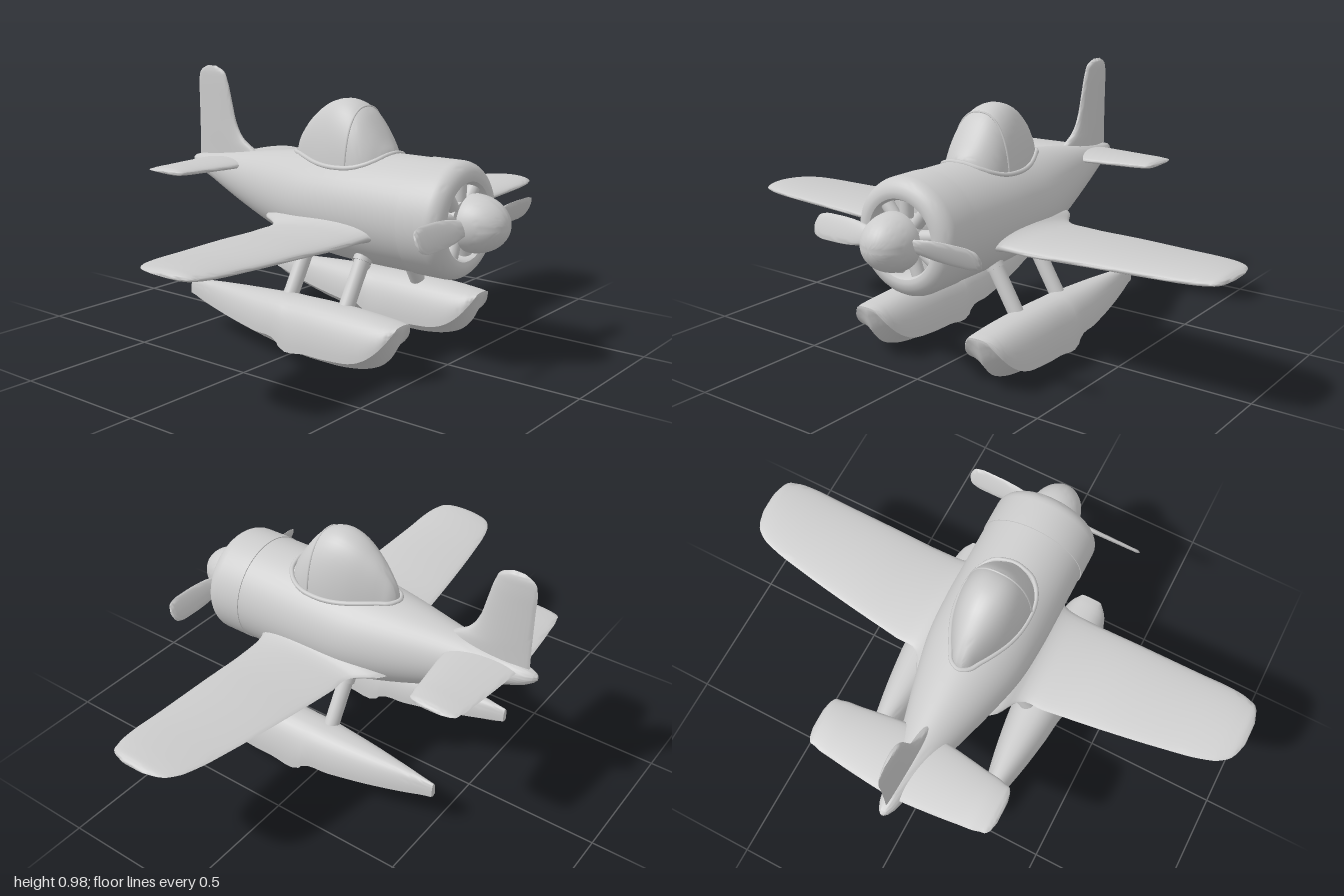
import * as THREE from 'three';
import { toCreasedNormals } from 'three/addons/utils/BufferGeometryUtils.js';

const V = (x, y, z) => new THREE.Vector3(x, y, z);
const material = new THREE.MeshStandardMaterial({ color: 0xcccccc });

function add(parent, name, geometry) {
  const mesh = new THREE.Mesh(geometry, material);
  mesh.name = name;
  parent.add(mesh);
  return mesh;
}

// Smooth function through station rows [position, a, b, ...]
function spline(rows) {
  const f = new THREE.CubicInterpolant(rows.map(r => r[0]), rows.flatMap(r => r.slice(1)), rows[0].length - 1);
  return t => Array.from(f.evaluate(t));
}

// Finer rows, k per interval
function refine(rows, k) {
  const f = spline(rows), out = [];
  for (let i = 0; i < rows.length - 1; i++)
    for (let j = 0; j < k; j++) {
      const t = THREE.MathUtils.lerp(rows[i][0], rows[i + 1][0], j / k);
      out.push([t, ...f(t)]);
    }
  out.push(rows[rows.length - 1]);
  return out;
}

// Closed skin over rings of equal length, capped and turned outward
function loft(rings, crease = 0.7) {
  const n = rings[0].length, pts = rings.flat(), index = [];
  for (let i = 0; i < rings.length - 1; i++)
    for (let j = 0; j < n; j++) {
      const a = i * n + j, b = i * n + (j + 1) % n;
      index.push(a, b, b + n, a, b + n, a + n);
    }
  [0, rings.length - 1].forEach(i => {
    const c = pts.length;
    pts.push(rings[i].reduce((s, p) => s.add(p), V(0, 0, 0)).divideScalar(n));
    for (let j = 0; j < n; j++) {
      const a = i * n + j, b = i * n + (j + 1) % n;
      index.push(...(i ? [a, b, c] : [b, a, c]));
    }
  });
  let volume = 0;
  for (let i = 0; i < index.length; i += 3)
    volume += pts[index[i]].dot(V(0, 0, 0).crossVectors(pts[index[i + 1]], pts[index[i + 2]]));
  if (volume < 0) index.reverse();
  const g = new THREE.BufferGeometry().setFromPoints(pts);
  g.setIndex(index);
  return toCreasedNormals(g, crease);
}

const circle = (n, f) => Array.from({ length: n }, (_, i) => f(Math.cos(i / n * 2 * Math.PI), Math.sin(i / n * 2 * Math.PI)));

// Airfoil surface; rows are [span, leading z, trailing z, centre, thickness]
function foil(rows, place, k = 4) {
  return loft(refine(rows, k).map(([s, le, te, c, t]) => circle(32, (co, si) =>
    place(s, (le + te) / 2 + (le - te) / 2 * co, c + t / 2 * si * (0.82 + 0.36 * co) + t * 0.12 * si * si))), 1.2);
}

// Surface of revolution along z from [radius, z] points
const turned = (points, crease = 0.6) =>
  toCreasedNormals(new THREE.LatheGeometry(points.map(p => new THREE.Vector2(...p)), 56).rotateX(Math.PI / 2), crease);

function rod(a, b, r) {
  const d = b.clone().sub(a);
  const g = new THREE.CylinderGeometry(r, r, d.length(), 24);
  g.applyQuaternion(new THREE.Quaternion().setFromUnitVectors(V(0, 1, 0), d.normalize()));
  const m = a.clone().add(b).multiplyScalar(0.5);
  return g.translate(m.x, m.y, m.z);
}

// [z, half width, top, bottom]
const BODY = [[-0.722, 0.006, 0.613, 0.595], [-0.71, 0.018, 0.62, 0.582], [-0.6, 0.047, 0.636, 0.53], [-0.4, 0.1, 0.664, 0.445],
  [-0.2, 0.155, 0.69, 0.377], [-0.05, 0.188, 0.705, 0.341], [0.1, 0.199, 0.718, 0.325], [0.25, 0.2, 0.721, 0.321], [0.43, 0.2, 0.721, 0.321]];
// [z, half width, top]
const CANOPY = [[-0.17, 0.008, 0.69], [-0.16, 0.028, 0.725], [-0.12, 0.055, 0.79], [-0.05, 0.092, 0.855], [0, 0.112, 0.885],
  [0.06, 0.126, 0.9], [0.12, 0.13, 0.888], [0.16, 0.127, 0.86], [0.2, 0.115, 0.81], [0.235, 0.09, 0.758], [0.253, 0.06, 0.732], [0.262, 0.015, 0.715]];
// [z, half width, deck, chine, keel]
const FLOAT = [[-0.495, 0.012, 0.192, 0.14, 0.134], [-0.46, 0.018, 0.196, 0.135, 0.118], [-0.4, 0.032, 0.202, 0.125, 0.1],
  [-0.25, 0.064, 0.212, 0.106, 0.062], [-0.1, 0.088, 0.219, 0.09, 0.033], [0.015, 0.101, 0.224, 0.075, 0.016], [0.025, 0.103, 0.224, 0.062, 0.012],
  [0.15, 0.107, 0.225, 0.06, 0.004], [0.25, 0.107, 0.223, 0.061, 0.007], [0.36, 0.102, 0.218, 0.075, 0.03],
  [0.42, 0.09, 0.213, 0.11, 0.065], [0.46, 0.07, 0.209, 0.155, 0.12], [0.482, 0.042, 0.205, 0.195, 0.185]];
// [x, leading z, trailing z, centre y, thickness]
const WING = [[0.08, 0.33, -0.24, 0.465, 0.12], [0.165, 0.318, -0.19, 0.463, 0.1], [0.21, 0.297, -0.115, 0.457, 0.066], [0.3, 0.29, -0.1, 0.453, 0.054],
  [0.53, 0.288, -0.07, 0.462, 0.048], [0.75, 0.286, -0.035, 0.47, 0.043], [0.89, 0.284, -0.006, 0.477, 0.04], [0.95, 0.272, 0.02, 0.48, 0.035],
  [0.985, 0.248, 0.06, 0.482, 0.025], [1, 0.2, 0.11, 0.483, 0.008]];
const TAIL = [[0, -0.395, -0.658, 0.613, 0.04], [0.1, -0.405, -0.65, 0.613, 0.038], [0.24, -0.425, -0.635, 0.614, 0.034],
  [0.32, -0.438, -0.622, 0.615, 0.03], [0.348, -0.455, -0.605, 0.615, 0.02], [0.357, -0.49, -0.57, 0.615, 0.006]];
const FIN = [[0.6, -0.33, -0.69, 0, 0.045], [0.67, -0.4, -0.689, 0, 0.04], [0.7, -0.448, -0.688, 0, 0.037], [0.75, -0.485, -0.688, 0, 0.034],
  [0.85, -0.515, -0.688, 0, 0.031], [0.93, -0.538, -0.687, 0, 0.027], [0.963, -0.558, -0.672, 0, 0.02], [0.979, -0.595, -0.64, 0, 0.006]];

const bodyAt = spline(BODY), canopyAt = spline(CANOPY);
const power = (v, p) => Math.sign(v) * Math.abs(v) ** p;

// Arch over the canopy from left sill to right sill
function canopyArch(w, top, z, n = 28) {
  return Array.from({ length: n + 1 }, (_, i) => {
    const a = i / n * Math.PI;
    return V(w * power(Math.cos(a), 0.85), 0.6 + (top - 0.6) * Math.sin(a) ** 0.85, z);
  });
}

function floatRing(cx, [z, w, deck, chine, keel]) {
  const half = [];
  for (let i = 0; i <= 6; i++) half.push([w * i / 6, keel + (chine - keel) * Math.sin(i / 6 * Math.PI / 2)]);
  for (let i = 1; i <= 10; i++) {
    const a = i / 10 * Math.PI / 2;
    half.push([w * Math.cos(a) ** 0.8, chine + (deck - chine) * Math.sin(a)]);
  }
  const mirror = half.slice(1, -1).reverse().map(([x, y]) => [-x, y]);
  return [...half, ...mirror].map(([x, y]) => V(cx + x, y, z));
}

export function createModel() {
  const plane = new THREE.Group();
  plane.name = 'floatplane';

  // Fuselage
  add(plane, 'fuselage', loft(refine(BODY, 5).map(([z, w, top, bottom]) =>
    circle(48, (c, s) => V(w * c, (top + bottom) / 2 + (top - bottom) / 2 * s, z)))));

  // Canopy, its sill and windshield frame
  add(plane, 'canopy', loft(refine(CANOPY, 4).map(([z, w, top]) => canopyArch(w, top, z)), 1));
  const outline = refine(CANOPY, 3).map(([z, w]) => [w, z]);
  const sill = [...outline, ...outline.slice().reverse().map(([w, z]) => [-w, z])].map(([x, z]) => {
    const [w, top, bottom] = bodyAt(z);
    return V(x, (top + bottom) / 2 + (top - bottom) / 2 * Math.sqrt(1 - (x / w) ** 2), z);
  });
  add(plane, 'canopySill', new THREE.TubeGeometry(new THREE.CatmullRomCurve3(sill, true), 140, 0.009, 8, true));
  const [frameW, frameTop] = canopyAt(0.14);
  add(plane, 'windshieldFrame', new THREE.TubeGeometry(new THREE.CatmullRomCurve3(canopyArch(frameW, frameTop, 0.14)), 60, 0.004, 6));

  // Engine: cowl, back plate, radial cylinders and shaft
  const engine = new THREE.Group();
  engine.name = 'engine';
  engine.position.y = 0.521;
  plane.add(engine);
  const lip = Array.from({ length: 9 }, (_, i) => i / 8 * Math.PI / 2)
    .map(a => [0.148 + 0.055 * Math.cos(a), 0.52 + 0.054 * Math.sin(a)]);
  add(engine, 'cowl', turned([[0.19, 0.41], [0.203, 0.412], ...lip, [0.136, 0.57], [0.13, 0.56], [0.13, 0.5], [0, 0.5]]));
  for (let i = 0; i < 9; i++) {
    const a = Math.PI / 2 + i / 9 * Math.PI * 2;
    add(engine, 'engineCylinder', rod(V(0, 0, 0.532), V(0.132 * Math.cos(a), 0.132 * Math.sin(a), 0.532), 0.023));
  }
  add(engine, 'crankcase', turned([[0.075, 0.5], [0.07, 0.55], [0.03, 0.562], [0.03, 0.6]]));

  // Propeller
  const dome = Array.from({ length: 15 }, (_, i) => i / 14 * Math.PI / 2)
    .map(a => [0.1 * Math.cos(a), 0.592 + 0.128 * Math.sin(a)]);
  add(engine, 'spinner', turned([[0, 0.58], [0.098, 0.58], ...dome]));
  const blade = loft(refine([[0.03, 0.018, 0.014], [0.1, 0.03, 0.012], [0.17, 0.042, 0.009], [0.27, 0.046, 0.007],
    [0.33, 0.041, 0.006], [0.35, 0.028, 0.005], [0.357, 0.008, 0.002]], 4).map(([x, chord, t]) => circle(20, (c, s) => {
    const p = V(0, chord * c, t * s).applyAxisAngle(V(1, 0, 0), 0.42);
    return V(x, p.y, 0.6 + p.z);
  })), 1.2);
  for (const turn of [0, Math.PI]) add(engine, 'propellerBlade', blade).rotation.z = turn;

  // Fin
  add(plane, 'fin', foil(FIN, (y, z, x) => V(x, y, z)));

  // Wings, tailplanes, floats and struts on both sides
  for (const [side, s] of [['left', 1], ['right', -1]]) {
    const place = (x, z, y) => V(s * x, y, z);
    add(plane, side + 'Wing', foil(WING, place));
    add(plane, side + 'Tailplane', foil(TAIL, place));
    add(plane, side + 'Float', loft(refine(FLOAT, 4).map(r => floatRing(s * 0.248, r)), 0.6));
    for (const z of [0.222, -0.03]) {
      const foot = V(s * 0.228, 0.19, z), top = V(s * 0.105, 0.395, z);
      add(plane, side + 'Strut', rod(foot, top, 0.028));
      add(plane, side + 'StrutCollar', rod(foot.clone().lerp(top, 0.8), top, 0.033));
    }
  }
  return plane;
}
